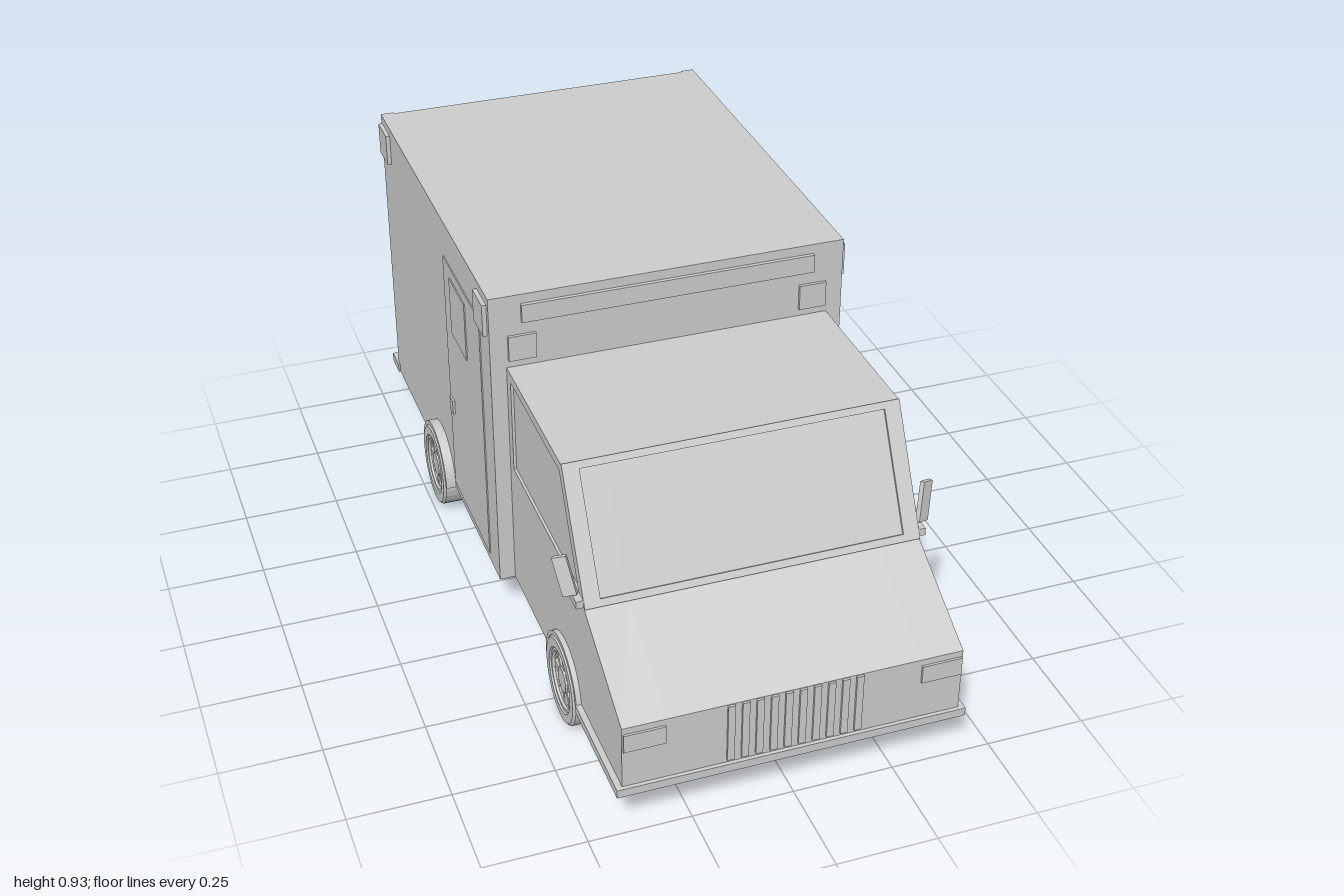
import * as THREE from 'three';

const mat = new THREE.MeshStandardMaterial({ color: 0xcccccc, flatShading: true });
const FLOOR = 0.11, AXLE = 0.113, FRONT_Z = 0.57, REAR_Z = -0.425;

export function createModel() {
  const root = new THREE.Group();

  const add = (name, geo, parent = root) => {
    const m = new THREE.Mesh(geo, mat);
    m.name = name;
    parent.add(m);
    return m;
  };
  // Box given by its limits on each axis
  const box = (name, x0, x1, y0, y1, z0, z1, parent = root) => {
    const m = add(name, new THREE.BoxGeometry(x1 - x0, y1 - y0, z1 - z0), parent);
    m.position.set((x0 + x1) / 2, (y0 + y1) / 2, (z0 + z1) / 2);
    return m;
  };
  // Side profile in (z, y), extruded between x0 and x1
  const slab = (name, shape, x0, x1) => {
    const g = new THREE.ExtrudeGeometry(shape, { depth: x1 - x0, bevelEnabled: false, curveSegments: 20 });
    g.rotateY(-Math.PI / 2).translate(x1, 0, 0);
    return add(name, g);
  };
  const poly = (pts) => new THREE.Shape(pts.map(([a, b]) => new THREE.Vector2(a, b)));
  // Profile with a wheel arch cut into its lower edge
  const archedProfile = (back, wheelZ, upper) => {
    const s = new THREE.Shape();
    s.moveTo(back, FLOOR);
    s.lineTo(wheelZ - 0.114, FLOOR);
    s.absarc(wheelZ, FLOOR, 0.114, Math.PI, 0, true);
    upper.forEach(([z, y]) => s.lineTo(z, y));
    s.closePath();
    return s;
  };

  // Cab: solid middle plus side walls with arches and window openings
  const cabTop = [[0.99, FLOOR], [0.99, 0.3], [0.73, 0.44], [0.57, 0.735], [0.135, 0.735]];
  slab('cabCore', poly([[0.135, FLOOR], ...cabTop]), -0.31, 0.31);
  const windowPts = [[0.165, 0.46], [0.69, 0.46], [0.558, 0.71], [0.165, 0.71]];
  for (const s of [-1, 1]) {
    const wall = archedProfile(0.135, FRONT_Z, cabTop);
    wall.holes.push(poly(windowPts));
    slab('cabSide', wall, s < 0 ? -0.415 : 0.31, s < 0 ? -0.31 : 0.415);
    slab('sideWindow', poly(windowPts), s < 0 ? -0.408 : 0.31, s < 0 ? -0.31 : 0.408);
  }

  // Windscreen surround, lying on the sloped front of the cab
  const slope = Math.hypot(0.16, 0.295);
  const surround = poly([[-0.415, 0], [0.415, 0], [0.415, slope], [-0.415, slope]]);
  surround.holes.push(poly([[-0.375, 0.018], [0.375, 0.018], [0.375, slope - 0.018], [-0.375, slope - 0.018]]));
  const frame = add('windscreenFrame', new THREE.ExtrudeGeometry(surround, { depth: 0.006, bevelEnabled: false }));
  frame.position.set(0, 0.44, 0.73);
  frame.rotation.x = -Math.atan2(0.16, 0.295);

  // Rear body
  const bodyTop = [[0.135, FLOOR], [0.135, 0.93], [-0.94, 0.93]];
  slab('bodyCore', poly([[-0.94, FLOOR], ...bodyTop]), -0.35, 0.35);
  slab('bodySide', archedProfile(-0.94, REAR_Z, bodyTop), 0.35, 0.455);
  slab('bodySide', archedProfile(-0.94, REAR_Z, bodyTop), -0.455, -0.35);

  // Bumpers
  box('frontBumper', -0.43, 0.43, FLOOR, 0.132, 0.69, 1);
  box('rearBumper', -0.46, 0.46, FLOOR, 0.135, -1, -0.93);

  // Grille
  for (let i = 0; i < 20; i += 2) {
    const x = -0.165 + i * 0.33 / 19;
    box('grilleBar', x, x + 0.33 / 19, 0.14, 0.298, 0.98, 0.996);
  }
  // Light bar over the cab
  box('lightBar', -0.375, 0.375, 0.857, 0.905, 0.13, 0.145);

  // Rear doors
  for (const s of [-1, 1]) {
    const sx = (name, a, b, ...r) => box(name, Math.min(s * a, s * b), Math.max(s * a, s * b), ...r);
    sx('rearDoor', 0.004, 0.315, 0.135, 0.895, -0.947, -0.93);
    sx('rearDoorHandle', 0.025, 0.05, 0.42, 0.465, -0.955, -0.94);
    sx('cornerPost', 0.42, 0.455, FLOOR, 0.93, -0.947, -0.935);
    sx('tailLight', 0.375, 0.405, 0.265, 0.315, -0.952, -0.935);
    sx('headlight', 0.312, 0.412, 0.235, 0.283, 0.98, 0.996);
    sx('frontMarker', 0.34, 0.41, 0.755, 0.822, 0.13, 0.143);
    sx('sideMarker', 0.45, 0.466, 0.823, 0.908, 0.035, 0.12);
    sx('sideMarker', 0.45, 0.466, 0.823, 0.908, -0.935, -0.85);
    // Wing mirror, leaning outwards on a short bracket
    sx('mirrorBracket', 0.41, 0.433, 0.442, 0.462, 0.67, 0.725);
    const mirror = add('mirror', new THREE.BoxGeometry(0.034, 0.1, 0.012));
    mirror.position.set(s * 0.445, 0.51, 0.682);
    mirror.rotation.set(-0.15, s * 0.5, -s * 0.2);
  }

  // Side door on the right-hand side, with window and handle
  box('sideDoor', -0.458, -0.45, 0.135, 0.83, -0.29, 0.05);
  box('sideDoorWindow', -0.461, -0.45, 0.64, 0.8, -0.225, -0.08);
  box('sideDoorHandle', -0.464, -0.45, 0.38, 0.42, -0.275, -0.245);

  // Wheels: local +y is the outer side
  const tyreProfile = [[0.08, -0.115], [0.106, -0.115], [0.112, -0.109], [0.112, -0.006], [0.106, 0],
    [0.083, 0], [0.079, -0.012], [0.08, -0.115]].map(([r, y]) => new THREE.Vector2(r, y));
  const makeWheel = () => {
    const w = new THREE.Group();
    w.name = 'wheel';
    add('tyre', new THREE.LatheGeometry(tyreProfile, 32), w);
    const rim = add('rim', new THREE.TorusGeometry(0.076, 0.007, 6, 32), w);
    rim.rotation.x = Math.PI / 2;
    rim.position.y = -0.01;
    add('hub', new THREE.CylinderGeometry(0.032, 0.036, 0.02, 16), w).position.y = -0.016;
    add('brakeDisc', new THREE.CylinderGeometry(0.08, 0.08, 0.01, 32), w).position.y = -0.05;
    for (let i = 0; i < 8; i++) {
      const a = i * Math.PI / 4;
      const spoke = add('spoke', new THREE.BoxGeometry(0.05, 0.012, 0.016), w);
      spoke.position.set(Math.cos(a) * 0.053, -0.016, Math.sin(a) * 0.053);
      spoke.rotation.y = -a;
    }
    return w;
  };

  // Half-ring trim around each arch
  const archShape = new THREE.Shape();
  archShape.absarc(0, 0, 0.124, 0, Math.PI, false);
  archShape.absarc(0, 0, 0.113, Math.PI, 0, true);
  archShape.closePath();

  for (const [z, outer, wall] of [[FRONT_Z, 0.432, 0.415], [REAR_Z, 0.485, 0.455]]) {
    for (const s of [-1, 1]) {
      const w = makeWheel();
      w.position.set(s * outer, AXLE, z);
      w.rotation.z = -s * Math.PI / 2;
      root.add(w);
      const x0 = wall - 0.01, x1 = outer - 0.004;
      slab('archTrim', archShape, s < 0 ? -x1 : x0, s < 0 ? -x0 : x1).position.set(0, FLOOR, z);
    }
  }
  return root;
}
